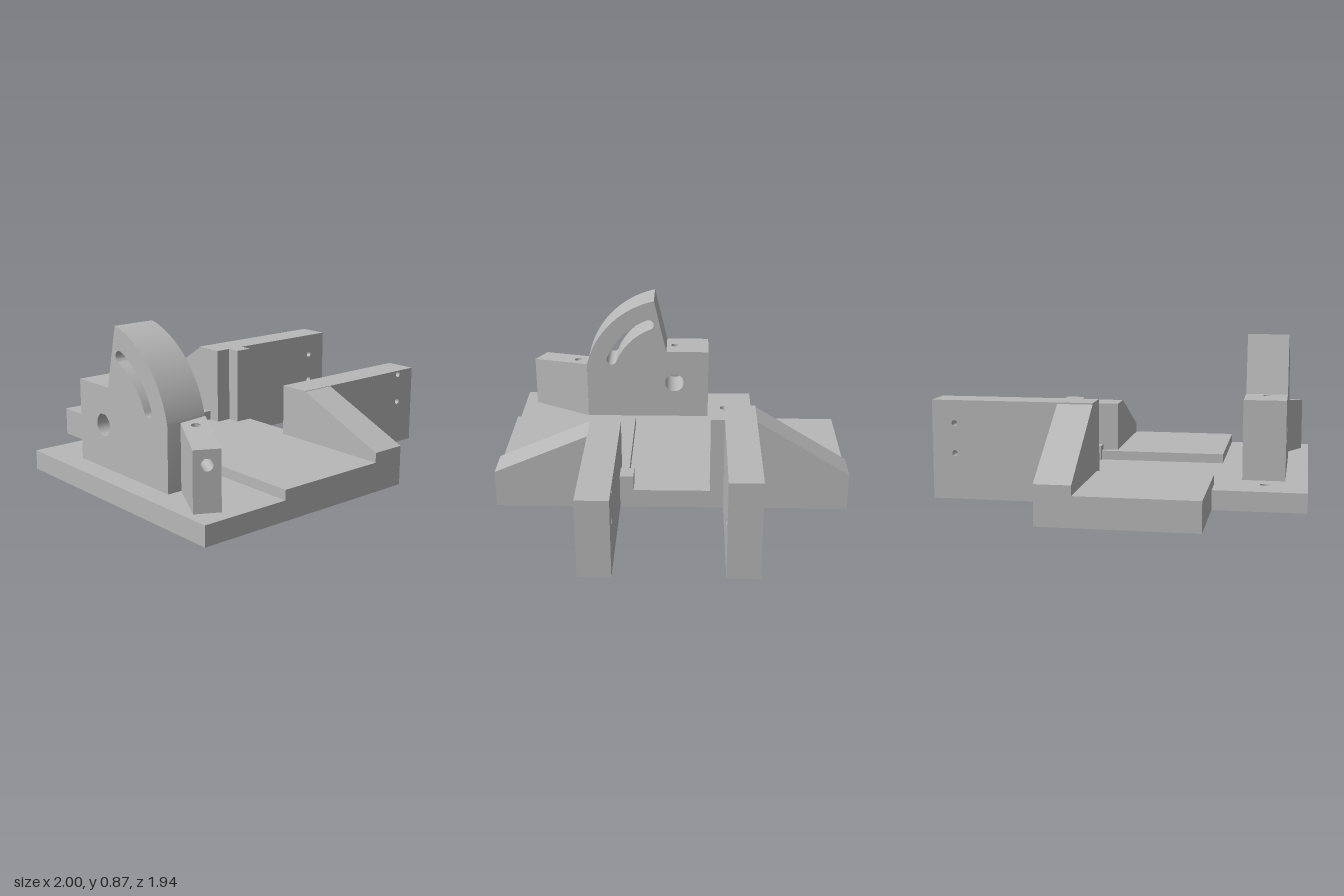
import * as THREE from 'three';
import { toCreasedNormals } from 'three/addons/utils/BufferGeometryUtils.js';

const grey = new THREE.MeshStandardMaterial({ color: 0xb8b8b8, side: THREE.DoubleSide });
grey.name = 'plain grey';

// Points along an arc, angles in degrees
function arc(cx, cy, r, a0, a1, n) {
  return Array.from({ length: n + 1 }, (_, i) => {
    const a = THREE.MathUtils.degToRad(a0 + ((a1 - a0) * i) / n);
    return [cx + r * Math.cos(a), cy + r * Math.sin(a)];
  });
}
const circle = (cx, cy, r) => arc(cx, cy, r, 0, 345, 23);

// Round hole with a 45 degree flat-topped roof
function teardrop(cx, cy, r) {
  const t = r * (Math.SQRT2 - 1);
  return [...arc(cx, cy, r, 135, 405, 24), [cx + t, cy + r], [cx - t, cy + r]];
}

function makeShape(points, holes = [], sign = 1) {
  const vec = (list) => list.map(([a, b]) => new THREE.Vector2(sign * a, b));
  const shape = new THREE.Shape(vec(points));
  holes.forEach((h) => shape.holes.push(new THREE.Path(vec(h))));
  return shape;
}
const extrude = (shape, depth) =>
  new THREE.ExtrudeGeometry(shape, { depth, bevelEnabled: false, steps: 1 });

// Outline in (z, y), extruded from x0 to x1
const extrudeX = (pts, holes, x0, x1) =>
  extrude(makeShape(pts, holes, -1), x1 - x0).rotateY(Math.PI / 2).translate(x0, 0, 0);
// Outline in (x, z), extruded from y0 to y1
const extrudeY = (pts, holes, y0, y1) =>
  extrude(makeShape(pts, holes), y1 - y0).rotateX(Math.PI / 2).translate(0, y1, 0);
// Outline in (x, y), extruded from z0 to z1
const extrudeZ = (pts, holes, z0, z1) =>
  extrude(makeShape(pts, holes), z1 - z0).translate(0, 0, z0);

const rect = (a0, b0, a1, b1) => [[a0, b0], [a1, b0], [a1, b1], [a0, b1]];

// Remove the triangles whose three corners all pass a test
function openFace(geometry, test) {
  const p = geometry.getAttribute('position');
  const kept = [];
  for (let i = 0; i < p.count; i += 3) {
    const tri = [0, 1, 2].map((k) => new THREE.Vector3().fromBufferAttribute(p, i + k));
    if (!tri.every(test)) tri.forEach((v) => kept.push(v.x, v.y, v.z));
  }
  const out = new THREE.BufferGeometry();
  out.setAttribute('position', new THREE.Float32BufferAttribute(kept, 3));
  out.computeVertexNormals();
  return out;
}

// Move every vertex by a rule
function remap(geometry, rule) {
  const p = geometry.getAttribute('position');
  for (let i = 0; i < p.count; i++) p.setXYZ(i, ...rule(p.getX(i), p.getY(i), p.getZ(i)));
  geometry.computeVertexNormals();
  return geometry;
}

// Inner wall of a vertical bore
const bore = (x, z, r, y0, y1) =>
  new THREE.CylinderGeometry(r, r, y1 - y0, 24, 1, true).translate(x, (y0 + y1) / 2, z);

export function createModel() {
  const model = new THREE.Group();
  model.name = 'fixtureBase';
  const add = (name, geometry, parent = model) => {
    const mesh = new THREE.Mesh(toCreasedNormals(geometry, 0.45), grey);
    mesh.name = name;
    parent.add(mesh);
  };
  const floor = 0.105;

  // Base plate with four bolt holes
  const bolts = [];
  for (const x of [-0.775, -0.36]) for (const z of [-0.315, 0.315]) bolts.push(circle(x, z, 0.025));
  add('basePlate', extrudeY(
    [[-1, 0.97], [0.31, 0.97], [0.31, -0.972], [-0.51, -0.972], [-0.51, -0.49], [-1, -0.49]],
    bolts, 0, floor));

  // Raised pads
  add('frontPad', extrudeY(
    [[-0.51, 0.97], [0.12, 0.97], [0.12, 0.284], [0.21, 0.284], [0.21, 0.238], [-0.51, 0.238]],
    [], floor, 0.158));
  add('rearPad', extrudeY(rect(-0.51, -0.972, 0.12, -0.356), [], floor, 0.158));

  // Side walls with pin holes, and their sloping buttresses
  const pins = [circle(0.877, 0.413, 0.016), circle(0.877, 0.25, 0.016)];
  add('frontWall', extrudeZ(rect(0.12, 0, 1, 0.435), pins, 0.283, 0.455));
  add('rearWall', extrudeZ(rect(0.12, 0, 1, 0.538), pins, -0.458, -0.287));
  add('frontButtress', extrudeX(
    [[0.455, floor], [0.455, 0.433], [0.97, 0.21], [0.97, floor]], [], 0.12, 0.31));
  add('rearButtress', extrudeX(
    [[-0.458, floor], [-0.458, 0.53], [-0.972, 0.21], [-0.972, floor]], [], 0.12, 0.31));

  // Stops at the inner faces of the walls
  add('rearStop', extrudeY(rect(0.21, -0.287, 0.31, -0.213), [], floor, 0.538));
  add('frontStop', extrudeY(rect(0.21, 0.208, 0.31, 0.284), [], floor, 0.19));

  // Upright with curved quadrant, arc slot and pivot hole
  const upright = new THREE.Group();
  upright.name = 'quadrantUpright';
  model.add(upright);
  const cy = 0.325, top = 0.54, slotR = 0.422, slotW = 0.031;
  const cap = (deg, a0, a1) => {
    const [[z, y]] = arc(0, cy, slotR, deg, deg, 1);
    return arc(z, y, slotW, a0, a1, 10);
  };
  const slot = [
    ...arc(0, cy, slotR + slotW, 22.2, 68, 20), ...cap(68, 68, 248).slice(1),
    ...arc(0, cy, slotR - slotW, 68, 22.2, 20).slice(1), ...cap(22.2, -157.8, 22.2).slice(1, -1),
  ];
  const outline = [
    [-0.21, floor], [-0.21, top], [0.05, top],
    ...arc(0, cy, 0.558, 77, 12.7, 32), [0.544, floor],
  ];
  add('uprightBody', openFace(
    extrudeX(outline, [slot, teardrop(0, 0.333, 0.058)], -0.88, -0.65),
    (v) => Math.abs(v.y - top) < 1e-4), upright);
  add('uprightTop', new THREE.ShapeGeometry(
    makeShape(rect(-0.88, -0.05, -0.65, 0.21), [circle(-0.767, 0, 0.023)]))
    .rotateX(-Math.PI / 2).translate(0, top, 0), upright);
  add('uprightBore', bore(-0.767, 0, 0.023, 0.388, top), upright);

  // Angled arm: u runs across it, s runs from its outer end back to the upright
  const arm = new THREE.Group();
  arm.name = 'angledArm';
  model.add(arm);
  const half = 0.067, armTop = 0.41, slope = 0.113;
  const armLength = (u) => (0.862 + 0.477 * u - 0.544) / 0.879;
  const armPoint = (u, y, s) => [-0.897 + 0.879 * u + 0.477 * s, y, 0.862 + 0.477 * u - 0.879 * s];
  const section = extrude(makeShape(rect(-half, floor, half, armTop), [teardrop(0, 0.335, 0.03)]), 1);
  add('armBody', remap(
    openFace(section, (v) => Math.abs(v.y - armTop) < 1e-4),
    (u, y, t) => {
      const s = armLength(u) * (1 - t);
      return armPoint(u, y > armTop - 1e-4 ? armTop + slope * s : y, s);
    }), arm);
  add('armTop', remap(new THREE.ShapeGeometry(makeShape(
    [[-half, 0], [half, 0], [half, armLength(half)], [-half, armLength(-half)]],
    [circle(0, 0.288, 0.023)])),
    (u, s) => armPoint(u, armTop + slope * s, s)), arm);
  const [bx, , bz] = armPoint(0, 0, 0.288);
  add('armBore', bore(bx, bz, 0.023, 0.36, 0.441), arm);

  return model;
}
